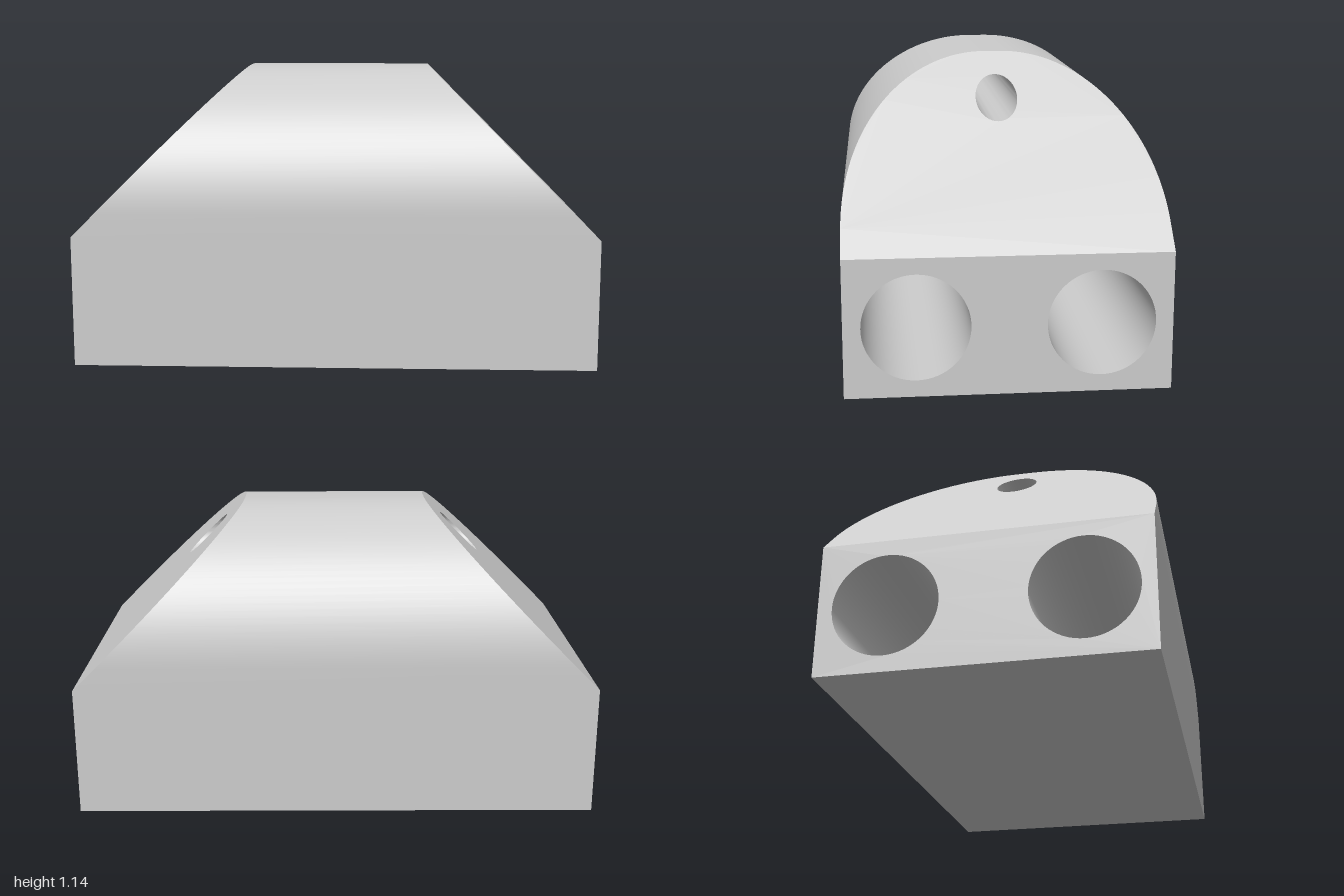
import * as THREE from 'three';
import { toCreasedNormals } from 'three/addons/utils/BufferGeometryUtils.js';

const R = 0.55, SPRING = 0.587, SHOULDER = 0.5, N = 32;
const endX = (e, y) => e * Math.min(1, 1 + SHOULDER - y); // 45 degree chamfer above the shoulder
const offset = (x) => 0.033 - 0.006 * x;                  // slight taper along the length

// Arched outline at one end (e = 1 or -1), from the +z foot over the top to the -z foot
function outline(e) {
  const pts = [];
  const add = (s, dz, y) => {
    const x = endX(e, y);
    pts.push(new THREE.Vector3(x, y, s * offset(x) + dz));
  };
  add(1, R, 0);
  add(1, R, SHOULDER);
  for (const s of [1, -1]) {
    for (let i = 0; i <= N; i++) {
      const a = (Math.PI / 2) * (i / N + (s > 0 ? 0 : 1));
      add(s, R * Math.cos(a), SPRING + R * Math.sin(a));
    }
  }
  add(-1, -R, SHOULDER);
  add(-1, -R, 0);
  return pts;
}

// Circular mouth of a bore at one end
function ring(bore, e) {
  const pts = [];
  for (let i = 0; i < 64; i++) {
    const a = (i / 64) * Math.PI * 2;
    const y = bore.y(e) + bore.r * Math.sin(a);
    pts.push(new THREE.Vector3(endX(e, y), y, bore.z(e) + bore.r * Math.cos(a)));
  }
  return pts;
}

// Closed skin between two matching loops
function skin(a, b) {
  const pos = [];
  a.forEach((p, i) => {
    const j = (i + 1) % a.length;
    for (const v of [p, b[i], b[j], p, b[j], a[j]]) pos.push(v.x, v.y, v.z);
  });
  const g = new THREE.BufferGeometry();
  g.setAttribute('position', new THREE.Float32BufferAttribute(pos, 3));
  return toCreasedNormals(g, 0.5);
}

// Flat end face with round openings, laid onto the end of the block
function endFace(points, holes, e) {
  const flat = (p) => new THREE.Vector2(-e * p.z, p.y);
  const shape = new THREE.Shape(points.map(flat));
  for (const h of holes) shape.holes.push(new THREE.Path(h.map(flat)));
  const g = new THREE.ShapeGeometry(shape);
  const pos = g.attributes.position;
  for (let i = 0; i < pos.count; i++) {
    const u = pos.getX(i), y = pos.getY(i);
    pos.setXYZ(i, endX(e, y), y, -e * u);
  }
  g.computeVertexNormals();
  return g;
}

export function createModel() {
  const model = new THREE.Group();
  const grey = new THREE.MeshStandardMaterial({ color: 0xcccccc });
  grey.name = 'light grey';
  const add = (name, geometry) => {
    const mesh = new THREE.Mesh(geometry, grey);
    mesh.name = name;
    model.add(mesh);
  };

  // Two wide bores side by side, splayed slightly, and a small one near the top
  const wide = [1, -1].map((s) => ({ r: 0.191, y: () => 0.251, z: (e) => s * (0.335 - 0.011 * e) }));
  const small = { r: 0.078, y: (e) => 0.983 - 0.004 * e, z: () => 0 };

  // Arched shell with its flat underside
  add('archedBody', skin(outline(-1), outline(1)));

  // Bore walls face inwards
  add('leftBore', skin(ring(wide[0], 1), ring(wide[0], -1)));
  add('rightBore', skin(ring(wide[1], 1), ring(wide[1], -1)));
  add('upperBore', skin(ring(small, 1), ring(small, -1)));

  // Upright and sloping faces at both ends
  for (const e of [1, -1]) {
    const o = outline(e), side = e > 0 ? 'left' : 'right';
    const last = o.length - 1;
    add(side + 'EndFace', endFace([o[0], o[1], o[last - 1], o[last]], wide.map((b) => ring(b, e)), e));
    add(side + 'SlopeFace', endFace(o.slice(1, last), [ring(small, e)], e));
  }
  return model;
}
